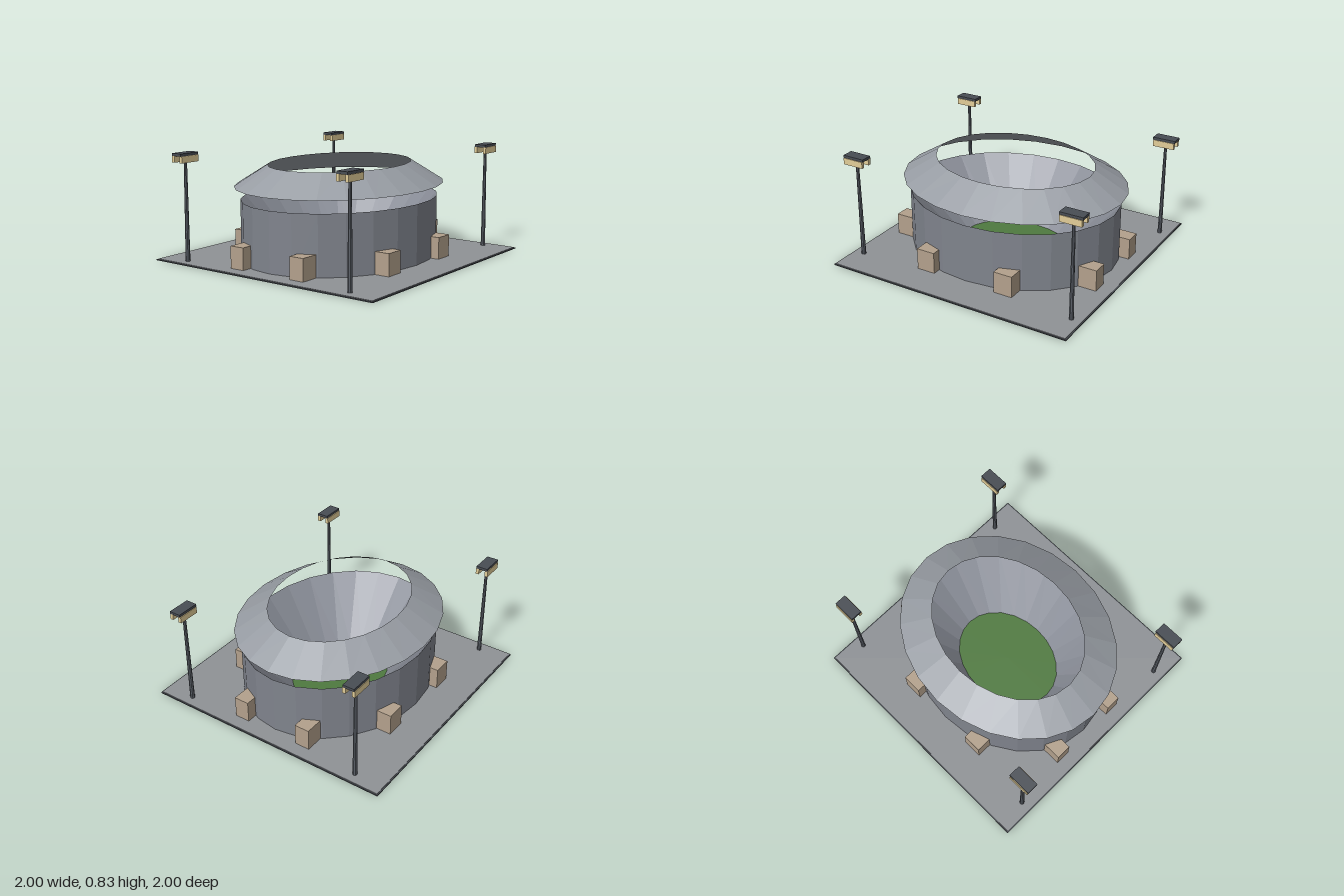
import * as THREE from 'three';

const SIDES = 24;

function material(color, side = THREE.FrontSide) {
  return new THREE.MeshStandardMaterial({ color, side, flatShading: true });
}

const mats = {
  slab: material(0x4a4e54),
  paving: material(0x8f9296),
  wall: material(0x80848d, THREE.DoubleSide),
  bowl: material(0x8a8e98, THREE.DoubleSide),
  roof: material(0x989da4, THREE.DoubleSide),
  field: material(0x4f7a3f),
  kiosk: material(0xb3a18c),
  pole: material(0x5a5f67),
  cap: material(0x484d54),
  lamp: material(0xe2cd98),
};

function addMesh(parent, name, geometry, mat, x = 0, y = 0, z = 0) {
  const mesh = new THREE.Mesh(geometry, mat);
  mesh.name = name;
  mesh.position.set(x, y, z);
  parent.add(mesh);
  return mesh;
}

// Open band joining two ellipses, each given as [radiusX, radiusZ, y]
function ellipseBand(top, bottom) {
  const geometry = new THREE.CylinderGeometry(1, 1, 1, SIDES, 1, true);
  const p = geometry.attributes.position;
  for (let i = 0; i < p.count; i++) {
    const [rx, rz, y] = p.getY(i) > 0 ? top : bottom;
    p.setXYZ(i, p.getX(i) * rx, y, p.getZ(i) * rz);
  }
  geometry.computeVertexNormals();
  return geometry;
}

function floodlight(x, z) {
  const tower = new THREE.Group();
  tower.name = `${z > 0 ? 'front' : 'back'}${x > 0 ? 'Left' : 'Right'}Floodlight`;
  tower.position.set(x, 0, z);
  addMesh(tower, 'pole', new THREE.CylinderGeometry(0.012, 0.018, 0.75, 8), mats.pole, 0, 0.385, 0);
  addMesh(tower, 'lampCap', new THREE.BoxGeometry(0.18, 0.02, 0.09), mats.cap, 0, 0.825, 0);
  for (const s of [-1, 1]) {
    addMesh(tower, 'lampBar', new THREE.BoxGeometry(0.17, 0.05, 0.025), mats.lamp, 0, 0.79, s * 0.038);
  }
  return tower;
}

export function createModel() {
  const model = new THREE.Group();
  model.name = 'stadium';

  // Ground
  addMesh(model, 'groundSlab', new THREE.BoxGeometry(2, 0.008, 2), mats.slab, 0, 0.004, 0);
  addMesh(model, 'paving', new THREE.BoxGeometry(1.98, 0.004, 1.98), mats.paving, 0, 0.01, 0);

  // Outer wall, sloped seating and floating roof ring
  const rim = [0.85, 0.7, 0.47];
  addMesh(model, 'outerWall', ellipseBand(rim, [0.85, 0.7, 0.01]), mats.wall);
  addMesh(model, 'seatingBowl', ellipseBand(rim, [0.44, 0.34, 0.016]), mats.bowl);
  addMesh(model, 'roofRing', ellipseBand([0.64, 0.495, 0.73], [0.9, 0.745, 0.57]), mats.roof);

  // Playing field
  const field = new THREE.CircleGeometry(1, SIDES);
  field.rotateX(-Math.PI / 2);
  field.scale(0.445, 1, 0.343);
  addMesh(model, 'playingField', field, mats.field, 0, 0.018, 0);

  // Entrance blocks around the wall
  for (let i = 0; i < 8; i++) {
    const a = (i + 0.5) * Math.PI / 4;
    addMesh(model, 'entranceBlock', new THREE.BoxGeometry(0.15, 0.17, 0.12), mats.kiosk,
      0.88 * Math.cos(a), 0.095, 0.725 * Math.sin(a));
  }

  // Corner floodlights
  for (const sx of [-1, 1]) {
    for (const sz of [-1, 1]) model.add(floodlight(sx * 0.91, sz * 0.755));
  }
  return model;
}
